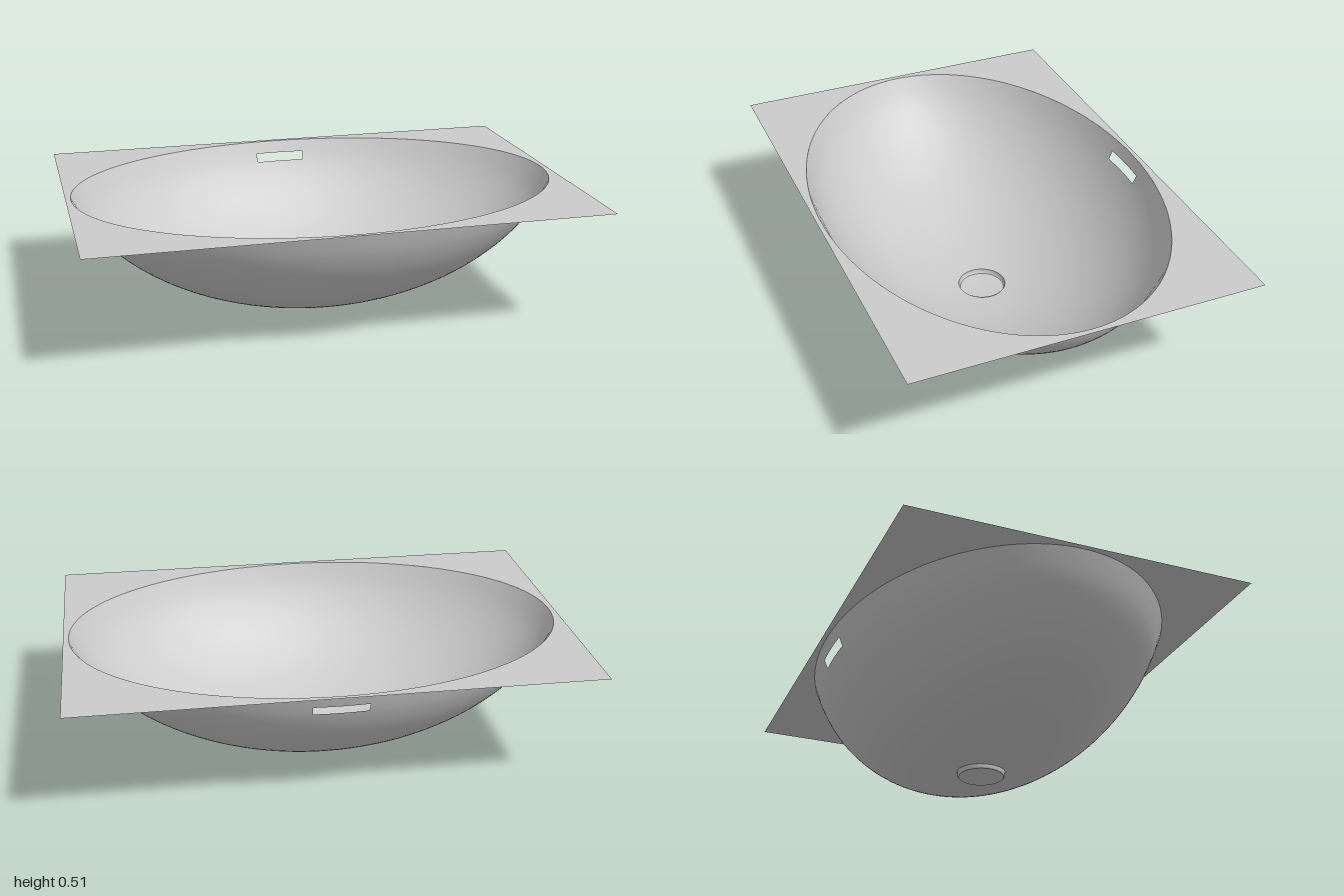
import * as THREE from 'three';

const RIM_X = 0.979, RIM_Z = 0.669, RIM_Y = 0.51; // elliptical rim
const BASE_Y = 0.017; // lowest point of the bowl curve
const DRAIN_R = 0.097;
const depth = RIM_Y - BASE_Y;
const R = (RIM_Z * RIM_Z + depth * depth) / (2 * depth);

// Height of the bowl: a spherical cap stretched along x
function bowlY(x, z) {
  const q = Math.min(1, Math.hypot(x / RIM_X, z / RIM_Z)) * RIM_Z;
  return BASE_Y + R - Math.sqrt(R * R - q * q);
}

// Rings run from the round drain edge to the elliptical rim; one patch is left open for the overflow
function bowlGeometry() {
  const slotHalf = 0.112, slotCols = 4, cols = 124;
  const slotLow = 0.943, slotHigh = 0.969, rows = 28;
  const angles = [];
  for (let i = 0; i < slotCols; i++) angles.push(-slotHalf + (2 * slotHalf * i) / slotCols);
  const rest = cols - slotCols;
  for (let i = 0; i < rest; i++) angles.push(slotHalf + ((2 * Math.PI - 2 * slotHalf) * i) / rest);
  const rings = [];
  for (let i = 0; i <= rows; i++) rings.push(slotLow * Math.sin((i / rows) * Math.PI * 0.42) / Math.sin(Math.PI * 0.42));
  rings.push(slotHigh, 1);

  const pos = [], index = [];
  for (const t of rings) {
    for (const a of angles) {
      const x = THREE.MathUtils.lerp(DRAIN_R, RIM_X, t) * Math.sin(a);
      const z = -THREE.MathUtils.lerp(DRAIN_R, RIM_Z, t) * Math.cos(a);
      pos.push(x, bowlY(x, z), z);
    }
  }
  for (let r = 0; r < rings.length - 1; r++) {
    for (let c = 0; c < cols; c++) {
      if (r === rows && c < slotCols) continue; // overflow slot
      const n = (c + 1) % cols;
      const a = r * cols + c, b = r * cols + n, d = a + cols, e = b + cols;
      index.push(a, b, d, b, e, d);
    }
  }
  const g = new THREE.BufferGeometry();
  g.setAttribute('position', new THREE.Float32BufferAttribute(pos, 3));
  g.setIndex(index);
  g.computeVertexNormals();
  // Make sure the front faces look into the bowl
  if (g.attributes.normal.getY(0) < 0) {
    g.setIndex(index.reverse());
    g.computeVertexNormals();
  }
  return g;
}

export function createModel() {
  const group = new THREE.Group();
  const material = new THREE.MeshStandardMaterial({ color: 0xcccccc, side: THREE.DoubleSide });
  const add = (name, geometry) => {
    const mesh = new THREE.Mesh(geometry, material);
    mesh.name = name;
    group.add(mesh);
    return mesh;
  };

  // Flat counter sheet with the elliptical opening
  const sheet = new THREE.Shape([[-1, -0.687], [1, -0.687], [1, 0.687], [-1, 0.687]].map(p => new THREE.Vector2(...p)));
  sheet.holes.push(new THREE.Path().absellipse(0, 0, RIM_X, RIM_Z, 0, Math.PI * 2, true));
  const counter = add('counter', new THREE.ShapeGeometry(sheet, 64));
  counter.rotation.x = -Math.PI / 2;
  counter.position.y = RIM_Y;

  // Bowl with overflow slot at the back
  add('bowl', bowlGeometry());

  // Shallow drain recess: side wall and slightly dished floor
  const profile = pts => new THREE.LatheGeometry(pts.map(p => new THREE.Vector2(...p)), 64);
  add('drainWall', profile([[0.091, 0.004], [0.096, 0.009], [DRAIN_R, 0.023]]));
  add('drainFloor', profile([[0, 0], [0.05, 0.001], [0.091, 0.004]]));
  return group;
}
